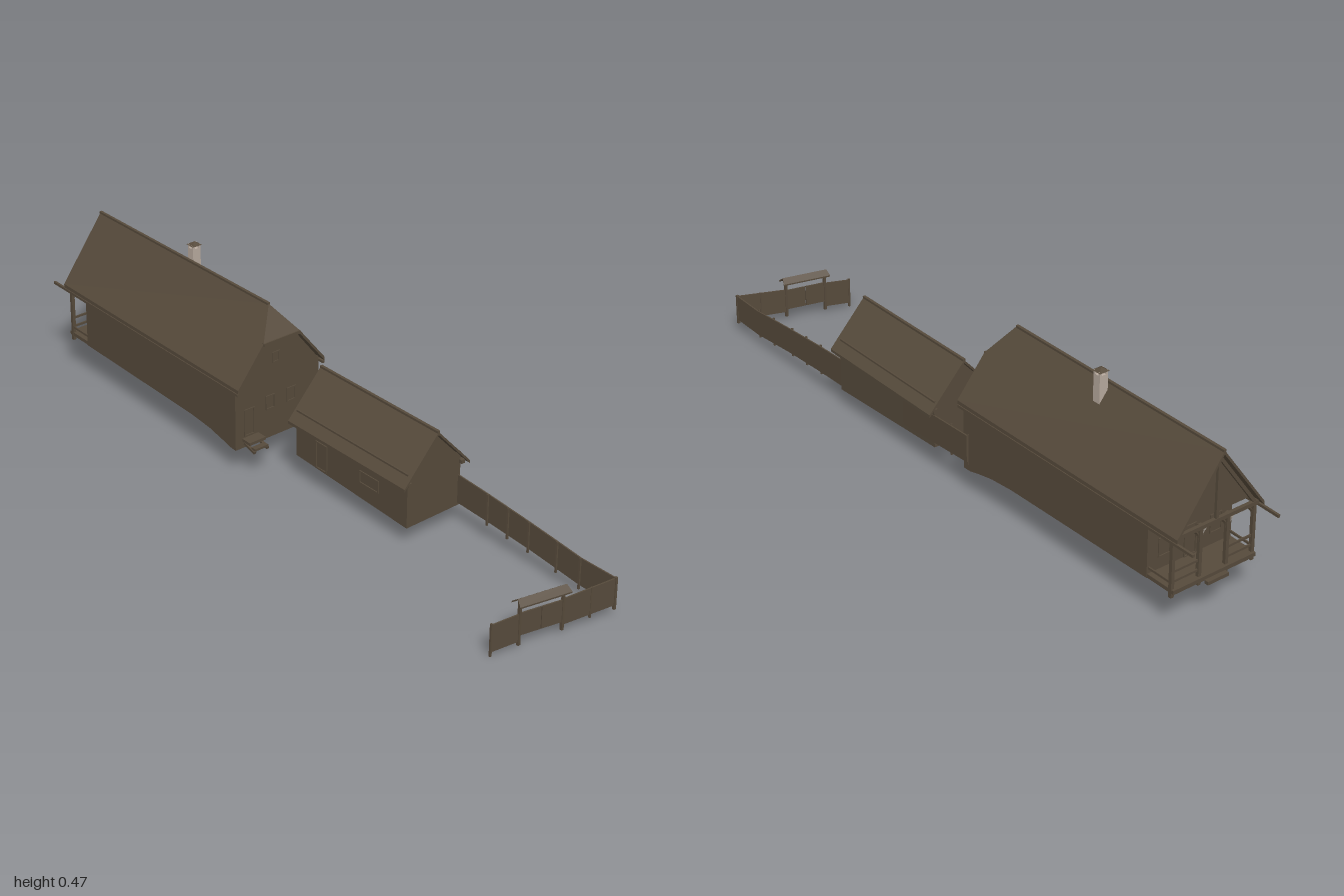
import * as THREE from 'three';

const wood = new THREE.MeshStandardMaterial({ color: 0x564a3b });
wood.name = 'weathered wood';
const stone = new THREE.MeshStandardMaterial({ color: 0xb8aa9e });
stone.name = 'pale stone';

// Mesh adder for one building: places local parts, skewing and tapering them along x
function builder(group, cx = 0, cz = 0, slope = 0, taper = 0) {
  return (name, geo, mat = wood) => {
    const g = geo.index ? geo.toNonIndexed() : geo;
    const p = g.attributes.position;
    for (let i = 0; i < p.count; i++) {
      const x = p.getX(i), z = p.getZ(i);
      p.setXYZ(i, x + cx, p.getY(i), cz + slope * x + z * (1 + taper * x));
    }
    g.computeVertexNormals();
    const mesh = new THREE.Mesh(g, mat);
    mesh.name = name;
    group.add(mesh);
    return mesh;
  };
}

// Box given by its limits
function box(x0, x1, y0, y1, z0, z1) {
  return new THREE.BoxGeometry(x1 - x0, y1 - y0, z1 - z0)
    .translate((x0 + x1) / 2, (y0 + y1) / 2, (z0 + z1) / 2);
}

function extrude(points, depth) {
  const shape = new THREE.Shape(points.map(([x, y]) => new THREE.Vector2(x, y)));
  return new THREE.ExtrudeGeometry(shape, { depth, bevelEnabled: false });
}

// Profile in (z, y), symmetric, swept from x0 to x1
const prism = (pts, x0, x1) => extrude(pts, x1 - x0).rotateY(Math.PI / 2).translate(x0, 0, 0);

// Convex polygon thickened downwards
function slab(points, drop) {
  let top = points.map((p) => new THREE.Vector3(...p));
  const n = top[1].clone().sub(top[0]).cross(top[2].clone().sub(top[0]));
  if (n.y < 0) top.reverse();
  const low = top.map((p) => p.clone().setY(p.y - drop));
  const tris = [];
  for (let i = 1; i < top.length - 1; i++) {
    tris.push(top[0], top[i], top[i + 1], low[0], low[i + 1], low[i]);
  }
  top.forEach((a, i) => {
    const j = (i + 1) % top.length;
    tris.push(a, low[i], low[j], a, low[j], top[j]);
  });
  return new THREE.BufferGeometry().setFromPoints(tris);
}

// Square beam between two points
function beam(a, b, w) {
  const va = new THREE.Vector3(...a), vb = new THREE.Vector3(...b);
  const d = vb.clone().sub(va);
  const g = new THREE.BoxGeometry(w, d.length(), w);
  g.applyQuaternion(new THREE.Quaternion().setFromUnitVectors(new THREE.Vector3(0, 1, 0), d.normalize()));
  return g.translate(...va.add(vb).multiplyScalar(0.5).toArray());
}

// Framed opening on a wall facing +x or -x (dir), or on a wall facing z
function openingX(add, name, x, dir, y0, y1, z0, z1) {
  const f = 0.003, a = Math.min(x, x + dir * 0.003), b = a + 0.003;
  add(name, box(a, b, y0, y1, z0, z0 + f));
  add(name, box(a, b, y0, y1, z1 - f, z1));
  add(name, box(a, b, y1 - f, y1, z0, z1));
  add(name, box(a, b, y0, y0 + f, z0, z1));
}
function openingZ(add, name, z, x0, x1, y0, y1) {
  const f = 0.003;
  add(name, box(x0, x0 + f, y0, y1, z, z + f));
  add(name, box(x1 - f, x1, y0, y1, z, z + f));
  add(name, box(x0, x1, y1 - f, y1, z, z + f));
  add(name, box(x0, x1, y0, y0 + f, z, z + f));
}

function house() {
  const g = new THREE.Group();
  g.name = 'house';
  const add = builder(g, -0.527, -0.071, 0.072, 0.1);
  const W = 0.1445, ridge = 0.43, eave = 0.25, hip = 0.355, hipZ = W * (ridge - hip) / (ridge - eave);

  // Walls with an underside that follows the ground
  const outline = [[-0.313, 0.246], [-0.313, 0.098], [0, 0.094], [0.2, 0.091], [0.28, 0.085],
    [0.34, 0.074], [0.37, 0.067], [0.397, 0.066], [0.397, 0.246]];
  add('walls', extrude(outline, 0.28).translate(0, 0, -0.14));
  add('attic', prism([[-0.139, 0.243], [0.139, 0.243], [0, 0.417]], -0.375, 0.36));
  add('right gable', prism([[-0.139, 0.243], [0.139, 0.243], [0.058, 0.346], [-0.058, 0.346]], 0.36, 0.397));

  // Roof with a half hip at the right end
  for (const s of [1, -1]) {
    add('roof slope', slab([[-0.418, eave, s * W], [0.417, eave, s * W], [0.417, hip, s * hipZ],
      [0.362, ridge, 0], [-0.418, ridge, 0]], 0.01));
    add('gutter', box(-0.472, 0.415, 0.232, 0.239, s * 0.1425 - 0.0035, s * 0.1425 + 0.0035));
    add('truss rafter', beam([-0.4, 0.246, s * 0.128], [-0.4, 0.405, s * 0.002], 0.009));
  }
  add('roof half hip', slab([[0.417, hip, hipZ], [0.417, hip, -hipZ], [0.362, ridge, 0]], 0.01));
  add('hip eave', box(0.408, 0.42, 0.348, 0.356, -hipZ, hipZ));
  add('ridge cap', box(-0.418, 0.362, 0.427, 0.433, -0.004, 0.004));
  add('truss tie', box(-0.405, -0.395, 0.238, 0.248, -0.138, 0.138));
  add('truss king post', box(-0.404, -0.396, 0.246, 0.41, -0.004, 0.004));

  // Porch at the left end
  add('porch floor', box(-0.405, -0.313, 0.098, 0.108, -0.138, 0.138));
  add('porch base', box(-0.395, -0.313, 0.088, 0.098, -0.125, 0.125));
  add('porch step', box(-0.418, -0.405, 0.09, 0.099, -0.035, 0.035));
  for (const s of [1, -1]) {
    add('eave plate', box(-0.405, -0.313, 0.238, 0.248, s * 0.134 - 0.005, s * 0.134 + 0.005));
    for (const z of [0.045, 0.134]) {
      add('porch post', box(-0.398, -0.388, 0.085, 0.245, s * z - 0.005, s * z + 0.005));
    }
    for (const y of [0.122, 0.148]) {
      add('end rail', box(-0.395, -0.391, y, y + 0.006, s * 0.09 - 0.045, s * 0.09 + 0.045));
    }
    add('side rail', box(-0.393, -0.313, 0.12, 0.126, s * 0.134 - 0.002, s * 0.134 + 0.002));
    // Curved braces beneath the tie beam
    for (const [z, dir] of [[0.134, -1], [0.045, 1], [0.045, -1]]) {
      const arc = new THREE.QuadraticBezierCurve3(
        new THREE.Vector3(-0.393, 0.195, s * z), new THREE.Vector3(-0.393, 0.235, s * (z + dir * 0.005)),
        new THREE.Vector3(-0.393, 0.242, s * (z + dir * 0.043)));
      add('curved brace', new THREE.TubeGeometry(arc, 8, 0.004, 4));
    }
  }

  // Doors and windows
  openingX(add, 'attic window frame', 0.397, 1, 0.28, 0.31, -0.007, 0.018);
  openingX(add, 'gable door frame', 0.397, 1, 0.098, 0.175, 0.078, 0.112);
  openingX(add, 'gable window frame', 0.397, 1, 0.15, 0.19, 0.01, 0.04);
  openingX(add, 'gable window frame', 0.397, 1, 0.15, 0.19, -0.06, -0.03);
  openingX(add, 'porch door frame', -0.313, -1, 0.108, 0.19, -0.02, 0.02);
  for (const s of [1, -1]) openingX(add, 'porch window frame', -0.313, -1, 0.14, 0.19, s * 0.085 - 0.02, s * 0.085 + 0.02);

  // Stoop by the right gable
  add('stoop', box(0.397, 0.43, 0.086, 0.094, 0.065, 0.118));
  add('stoop step', box(0.43, 0.447, 0.075, 0.081, 0.07, 0.113));
  for (const z of [0.07, 0.112]) add('stoop stringer', beam([0.4, 0.08, z], [0.445, 0.07, z], 0.007));

  // Chimney
  add('chimney shaft', box(-0.012, 0.012, 0.36, 0.458, -0.038, -0.012), stone);
  for (const x of [-0.009, 0.009]) for (const z of [-0.035, -0.015]) {
    add('chimney cap leg', box(x - 0.003, x + 0.003, 0.456, 0.468, z - 0.003, z + 0.003), stone);
  }
  add('chimney cap', new THREE.ConeGeometry(0.022, 0.009, 4).rotateY(Math.PI / 4).translate(0, 0.4705, -0.025));
  return g;
}

function barn() {
  const g = new THREE.Group();
  g.name = 'barn';
  const add = builder(g, 0.217, -0.074, 0.07);
  add('walls', extrude([[-0.222, 0.2], [-0.222, 0.068], [0.218, 0.049], [0.218, 0.2]], 0.184).translate(0, 0, -0.092));
  add('gables', prism([[-0.092, 0.185], [0.092, 0.185], [0, 0.28]], -0.222, 0.218));
  for (const s of [1, -1]) {
    add('roof slope', slab([[-0.231, 0.172, s * 0.114], [0.231, 0.172, s * 0.114], [0.231, 0.291, 0], [-0.231, 0.291, 0]], 0.008));
    for (const x of [-0.217, 0.217]) add('purlin end', box(x - 0.012, x + 0.012, 0.17, 0.18, s * 0.092 - 0.006, s * 0.092 + 0.006));
  }
  add('ridge cap', box(-0.231, 0.231, 0.288, 0.294, -0.004, 0.004));
  openingZ(add, 'door frame', 0.092, -0.14, -0.095, 0.068, 0.145);
  openingZ(add, 'window frame', 0.092, 0.035, 0.11, 0.1, 0.135);
  return g;
}

function fence() {
  const g = new THREE.Group();
  g.name = 'fence';
  const add = builder(g);
  const T = 0.004;
  const post = (x, z, y0, y1, w = 0.007) => add('fence post', box(x - w / 2, x + w / 2, y0, y1, z - w / 2, z + w / 2));

  // Boarded run between two points, each [x, z, bottom, top]
  const panel = (name, a, b) => {
    const dx = b[0] - a[0], dz = b[1] - a[1], len = Math.hypot(dx, dz);
    add(name, extrude([[0, a[2]], [len, b[2]], [len, b[3]], [0, a[3]]], T)
      .translate(0, 0, -T / 2).rotateY(-Math.atan2(dz, dx)).translate(a[0], 0, a[1]));
  };

  // Back fence, falling with the ground
  const backZ = (x) => -0.1 - 0.081 * (0.996 - x);
  const back = [[-0.15, 0.092, 0.167], [0, 0.082, 0.16], [0.42, 0.057, 0.136], [0.55, 0.053, 0.13], [0.7, 0.046, 0.12],
    [0.8, 0.038, 0.112], [0.88, 0.031, 0.105], [0.996, 0.033, 0.107]].map(([x, lo, hi]) => [x, backZ(x), lo, hi]);
  for (let i = 0; i < back.length - 1; i++) {
    const a = back[i], b = back[i + 1], n = Math.round((b[0] - a[0]) / 0.09);
    panel('back fence panel', a, b);
    for (let k = 0; k < n; k++) {
      const [x, z, lo, hi] = a.map((v, j) => v + (b[j] - v) * k / n);
      post(x, z + 0.004, lo - 0.009, hi + 0.002, 0.005);
    }
  }
  post(0.996, -0.1, 0.022, 0.109);

  // Side fence with a roofed gate
  const sideX = (z) => 0.996 - 0.076 * (z + 0.1) / 0.338;
  const at = (z, lo, hi) => [sideX(z), z, lo, hi];
  panel('side fence panel', at(-0.1, 0.033, 0.107), at(0.045, 0.025, 0.095));
  panel('side fence panel', at(0.163, 0.017, 0.091), at(0.238, 0.012, 0.085));
  panel('gate leaf', at(0.045, 0.033, 0.093), at(0.103, 0.033, 0.093));
  panel('gate leaf', at(0.105, 0.033, 0.093), at(0.163, 0.033, 0.093));
  post(sideX(-0.032), -0.032, 0.02, 0.102, 0.005);
  post(sideX(0.238), 0.238, 0, 0.088, 0.005);
  for (const [z, y] of [[0.163, 0.007], [0.045, 0.011]]) post(sideX(z), z, y, 0.126);
  for (const s of [1, -1]) {
    const p = (z, y, off) => [sideX(z) + off, y, z + off * 0.22];
    add('gate roof slope', slab([p(0.033, 0.12, s * 0.017), p(0.174, 0.12, s * 0.017),
      p(0.17, 0.133, 0), p(0.037, 0.133, 0)], 0.004));
  }
  return g;
}

export function createModel() {
  const model = new THREE.Group();
  model.name = 'farmstead';
  model.add(house(), barn(), fence());
  return model;
}
